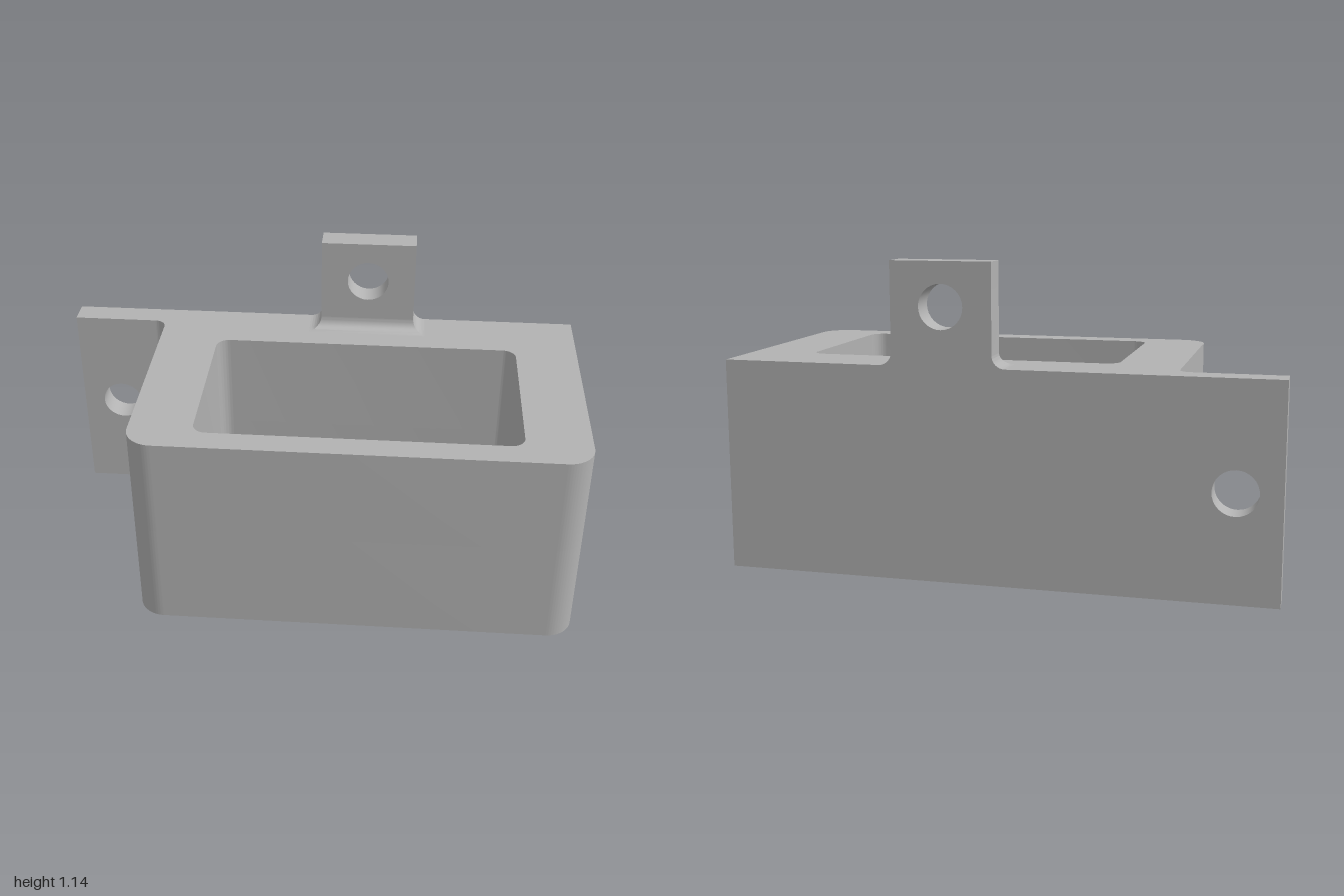
import * as THREE from 'three';
import { toCreasedNormals } from 'three/addons/utils/BufferGeometryUtils.js';

const BACK = -0.495, FRONT = 0.495, PLATE = 0.097, TOP = 0.776;
const PLATE_FRONT = BACK + PLATE;

const grey = new THREE.MeshStandardMaterial({ color: 0xb2b2b2 });
grey.name = 'plain grey';

function circle(x, y, r) {
  return new THREE.Path().absarc(x, y, r, 0, Math.PI * 2, true);
}

function roundedRect(x0, y0, x1, y1, r) {
  const p = new THREE.Path(), h = Math.PI / 2;
  p.absarc(x1 - r, y1 - r, r, 0, h);
  p.absarc(x0 + r, y1 - r, r, h, 2 * h);
  p.absarc(x0 + r, y0 + r, r, 2 * h, 3 * h);
  p.absarc(x1 - r, y0 + r, r, 3 * h, 4 * h);
  p.closePath();
  return p;
}

function extrude(shape, depth) {
  return new THREE.ExtrudeGeometry(shape, { depth, bevelEnabled: false, curveSegments: 16 });
}

function part(name, geometry) {
  const mesh = new THREE.Mesh(toCreasedNormals(geometry, 0.5), grey);
  mesh.name = name;
  return mesh;
}

// Plan outline of the frame, drawn with shape y = -z
function framePlan() {
  const s = new THREE.Shape(), r = 0.1, f = 0.045, left = -0.63, h = Math.PI / 2;
  s.moveTo(1, -BACK);
  s.lineTo(left - f, -BACK);
  s.lineTo(left - f, -PLATE_FRONT);
  s.absarc(left - f, -PLATE_FRONT - f, f, h, 0, true);
  s.absarc(left + r, -FRONT + r, r, 2 * h, 3 * h);
  s.absarc(1 - r, -FRONT + r, r, 3 * h, 4 * h);
  s.closePath();
  s.holes.push(roundedRect(-0.4, -0.4, 0.765, 0.262, 0.05));
  return s;
}

// Concave fillet across the front of the tab, mitred at its two corners
function tabFillet(x0, x1, r) {
  const steps = 12, pos = [], index = [];
  for (let i = 0; i <= steps; i++) {
    const a = (i / steps) * Math.PI / 2;
    const d = r * (1 - Math.sin(a)), y = TOP + r * (1 - Math.cos(a));
    pos.push(x0 - d, y, PLATE_FRONT, x0 - d, y, PLATE_FRONT + d);
    pos.push(x1 + d, y, PLATE_FRONT + d, x1 + d, y, PLATE_FRONT);
  }
  for (let i = 0; i < steps; i++) {
    for (let j = 0; j < 3; j++) {
      const a = i * 4 + j, b = a + 1, c = a + 4, d = a + 5;
      index.push(a, b, d, a, d, c);
    }
  }
  const g = new THREE.BufferGeometry();
  g.setAttribute('position', new THREE.Float32BufferAttribute(pos, 3));
  g.setIndex(index);
  return g;
}

export function createModel() {
  const group = new THREE.Group();
  group.name = 'mountingFrame';

  // Frame: the lower layer carries two blind screw holes, the upper one closes them
  const holeDepth = 0.4;
  const lowerPlan = framePlan();
  for (const x of [0.88, -0.51]) lowerPlan.holes.push(circle(x, -0.068, 0.058));
  const lower = extrude(lowerPlan, holeDepth).rotateX(-Math.PI / 2);
  const upper = extrude(framePlan(), TOP - holeDepth).rotateX(-Math.PI / 2);
  upper.translate(0, holeDepth, 0);
  group.add(part('frameLower', lower), part('frameUpper', upper));

  // Side flange with a through hole
  const flange = new THREE.Shape();
  flange.moveTo(-1, 0);
  flange.lineTo(-0.675, 0);
  flange.lineTo(-0.675, TOP);
  flange.lineTo(-1, TOP);
  flange.closePath();
  flange.holes.push(circle(-0.84, TOP / 2, 0.08));
  group.add(part('sideFlange', extrude(flange, PLATE).translate(0, 0, BACK)));

  // Upright tab with flared foot and a through hole
  const x0 = 0, x1 = 0.365, r = 0.047, tabTop = 1.143, h = Math.PI / 2;
  const tab = new THREE.Shape();
  tab.moveTo(x0 - r, TOP);
  tab.lineTo(x1 + r, TOP);
  tab.absarc(x1 + r, TOP + r, r, 3 * h, 2 * h, true);
  tab.lineTo(x1, tabTop);
  tab.lineTo(x0, tabTop);
  tab.absarc(x0 - r, TOP + r, r, 0, -h, true);
  tab.closePath();
  tab.holes.push(circle((x0 + x1) / 2, 0.985, 0.08));
  group.add(part('topTab', extrude(tab, PLATE).translate(0, 0, BACK)));
  group.add(part('tabFillet', tabFillet(x0, x1, r)));

  return group;
}
